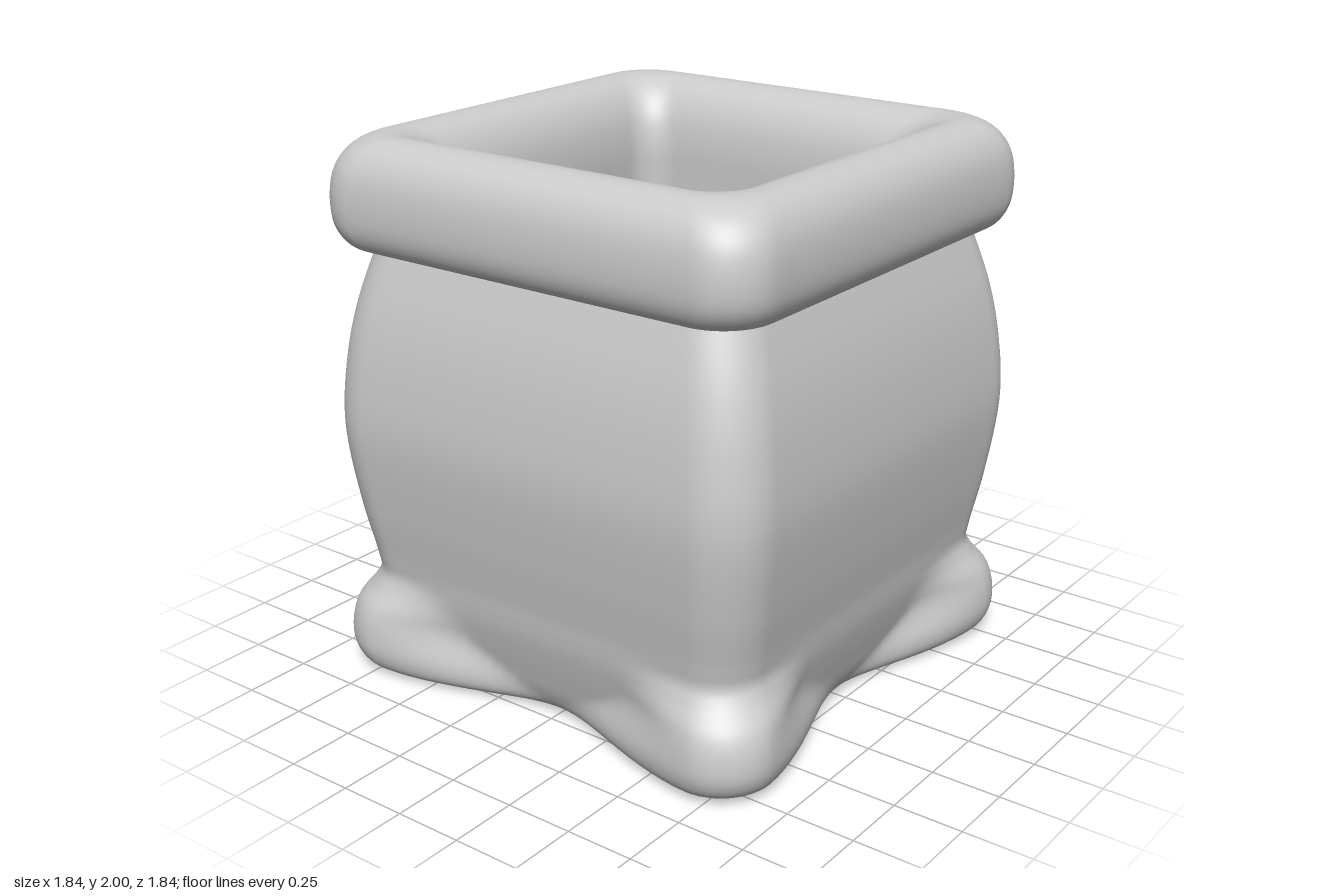
import * as THREE from 'three';

const material = new THREE.MeshStandardMaterial({ color: 0xcccccc, side: THREE.DoubleSide });

// Rounded square of half-width 1, listed once around from +x towards +z.
function roundedSquare(radius, sideSteps = 28, arcSteps = 12) {
  const points = [];
  const flat = 1 - radius;
  for (let q = 0; q < 4; q++) {
    const turn = (x, z) => {
      for (let k = 0; k < q; k++) [x, z] = [-z, x];
      points.push([x, z]);
    };
    for (let i = 0; i < sideSteps; i++) turn(1, flat * (2 * i / sideSteps - 1));
    for (let i = 0; i < arcSteps; i++) {
      const a = (i / arcSteps) * Math.PI / 2;
      turn(flat + radius * Math.cos(a), flat + radius * Math.sin(a));
    }
  }
  return points;
}

// Skin of square rings along a profile of [half-width at sides, y, half-width at corners].
function squareLoft(name, profile, steps, cornerRatio) {
  const curve = new THREE.CatmullRomCurve3(
    profile.map(([side, y, corner = side]) => new THREE.Vector3(side, y, corner)), false, 'centripetal');
  const ring = roundedSquare(cornerRatio);
  const count = ring.length;
  const positions = [], index = [];
  for (let i = 0; i <= steps; i++) {
    const { x: side, y, z: corner } = curve.getPoint(i / steps);
    // The corner swelling spreads along the whole edge at the base and tightens into a ball above
    const start = 0.42 * THREE.MathUtils.smoothstep(y, 0.01, 0.26);
    for (const [x, z] of ring) {
      const nearCorner = THREE.MathUtils.smoothstep(Math.min(Math.abs(x), Math.abs(z)), start, 0.8);
      const size = THREE.MathUtils.lerp(side, corner, nearCorner);
      positions.push(x * size, Math.max(0, y), z * size);
    }
  }
  for (let i = 0; i < steps; i++) {
    for (let j = 0; j < count; j++) {
      const a = i * count + j, b = i * count + (j + 1) % count;
      index.push(a, a + count, b, b, a + count, b + count);
    }
  }
  const geometry = new THREE.BufferGeometry();
  geometry.setAttribute('position', new THREE.Float32BufferAttribute(positions, 3));
  geometry.setIndex(index);
  geometry.computeVertexNormals();
  const mesh = new THREE.Mesh(geometry, material);
  mesh.name = name;
  return mesh;
}

export function createModel() {
  const group = new THREE.Group();
  group.name = 'squareSack';

  // Bulging outer cloth, with a tucked base and puffed corner feet
  group.add(squareLoft('body', [
    [0.001, 0.015], [0.45, 0.015, 0.5], [0.64, 0.005, 0.79], [0.715, 0.035, 0.885],
    [0.755, 0.1, 0.918], [0.785, 0.19, 0.92], [0.808, 0.27, 0.9], [0.825, 0.34, 0.855],
    [0.833, 0.39, 0.835], [0.842, 0.46], [0.875, 0.65], [0.908, 0.96], [0.892, 1.2],
    [0.857, 1.4], [0.80, 1.6], [0.78, 1.66],
  ], 96, 0.22));

  // Fat rolled rim running on smoothly into the hollow inside and its soft-edged floor
  group.add(squareLoft('rimAndLining', [
    [0.77, 1.64], [0.80, 1.612], [0.86, 1.62], [0.897, 1.68], [0.907, 1.78], [0.89, 1.89],
    [0.84, 1.965], [0.75, 2.0], [0.66, 1.965], [0.605, 1.88], [0.582, 1.77], [0.58, 1.6],
    [0.582, 1.2], [0.575, 0.9], [0.54, 0.65], [0.48, 0.43], [0.44, 0.345], [0.38, 0.31],
    [0.2, 0.3], [0.001, 0.3],
  ], 96, 0.21));

  return group;
}
